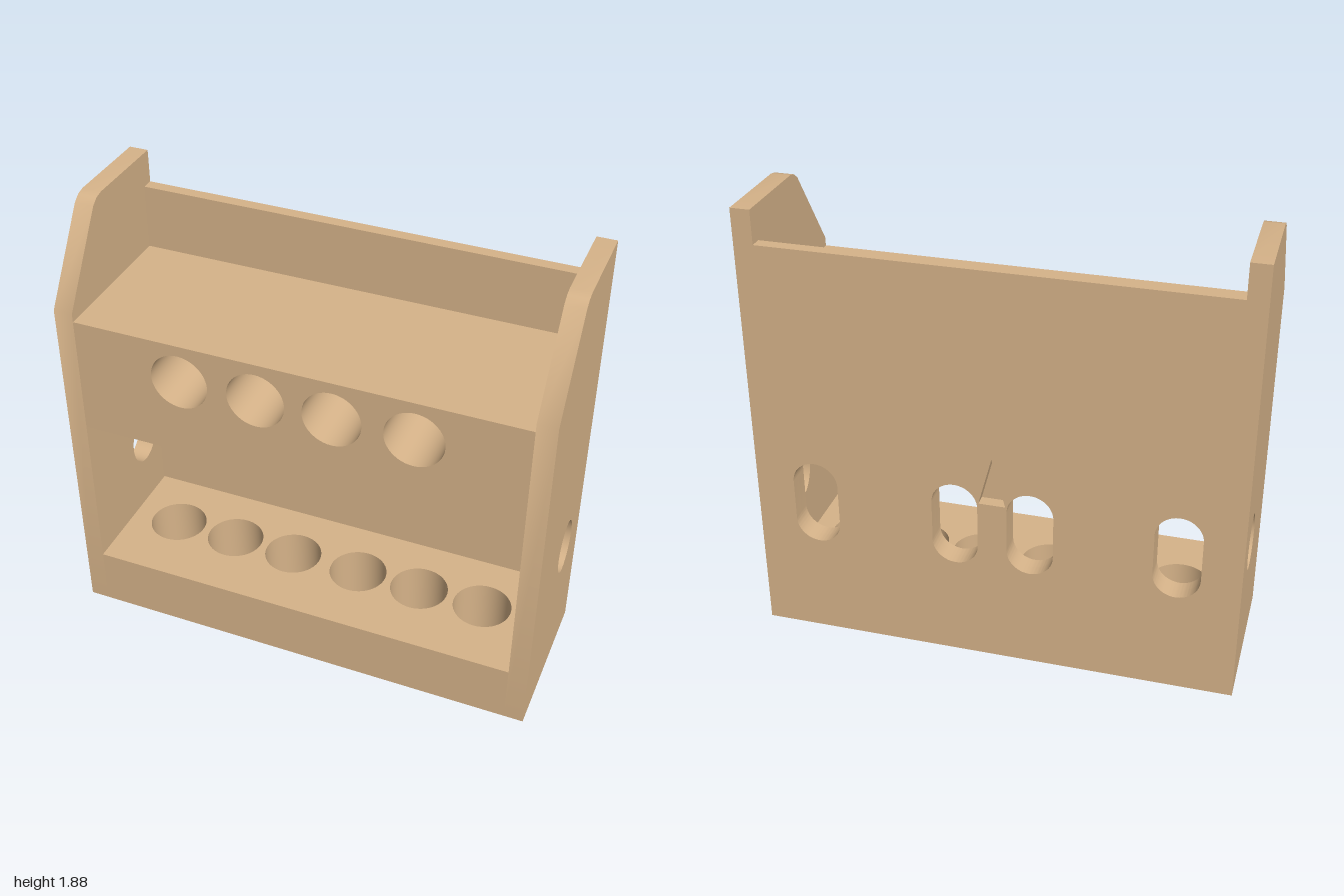
import * as THREE from 'three';
import { toCreasedNormals } from 'three/addons/utils/BufferGeometryUtils.js';

const W = 0.92;    // inner half width, between the side panels
const D = 0.34;    // half depth
const SKIN = 0.05; // thickness of the back panel

export function createModel() {
  const wood = new THREE.MeshStandardMaterial({ color: 0xd6b389 });
  wood.name = 'tan';
  const group = new THREE.Group();
  group.name = 'toolRack';

  const polygon = (pts) => new THREE.Shape(pts.map(([x, y]) => new THREE.Vector2(x, y)));
  const rect = (x0, y0, x1, y1) => polygon([[x0, y0], [x1, y0], [x1, y1], [x0, y1]]);
  const ellipse = (x, y, rx, ry) => new THREE.Path().absellipse(x, y, rx, ry, 0, Math.PI * 2, true);

  // upright slot with round ends
  const slot = (x) => {
    const r = 0.095, low = 0.535, high = 0.715;
    return new THREE.Path()
      .absarc(x, high, r, 0, Math.PI, false)
      .absarc(x, low, r, Math.PI, Math.PI * 2, false)
      .closePath();
  };
  const slots = () => [-0.745, -0.155, 0.155, 0.745].map(slot);

  // board cut from an outline with holes, extruded along its local z
  const board = (name, shape, holes, depth) => {
    shape.holes.push(...holes);
    const raw = new THREE.ExtrudeGeometry(shape, { depth, bevelEnabled: false, curveSegments: 24 });
    const mesh = new THREE.Mesh(toCreasedNormals(raw, 0.6), wood);
    mesh.name = name;
    group.add(mesh);
    return mesh;
  };

  // side panels with sloped front corner and an oval hole; shape x becomes -z
  for (const side of [-1, 1]) {
    const outline = polygon([
      [-D, 0], [D, 0], [D, 1.88], [-0.04, 1.88], [-0.075, 1.872], [-0.105, 1.85], [-D, 1.5],
    ]);
    const panel = board(side > 0 ? 'leftPanel' : 'rightPanel', outline,
      [ellipse(0.1, 0.59, 0.1, 0.12)], 1 - W);
    panel.rotation.y = Math.PI / 2;
    panel.position.x = side > 0 ? W : -1;
  }

  // back panel with four slots and a small hanging notch
  const notch = new THREE.Path([[-0.055, 0.74], [0, 0.95], [0.055, 0.74]]
    .map(([x, y]) => new THREE.Vector2(x, y)));
  board('backPanel', rect(-W, 0, W, 1.74), [...slots(), notch], SKIN).position.z = -D;

  // thicker wall behind the open bay
  board('bayWall', rect(-W, 0.26, W, 0.96), slots(), 0.05).position.z = -D + SKIN;

  // upper block with four deep round holes
  board('upperBlock', rect(-W, 0.96, W, 1.465),
    [-0.475, -0.155, 0.155, 0.48].map((x) => ellipse(x, 1.3, 0.12, 0.12)),
    2 * D - SKIN).position.z = -D + SKIN;

  // base block with six upright holes; shape y becomes -z
  const base = board('baseBlock', rect(-W, -D, W, D - SKIN),
    [-0.71, -0.43, -0.152, 0.152, 0.43, 0.71].map((x) => ellipse(x, -0.02, 0.123, 0.123)), 0.257);
  base.rotation.x = -Math.PI / 2;

  return group;
}
